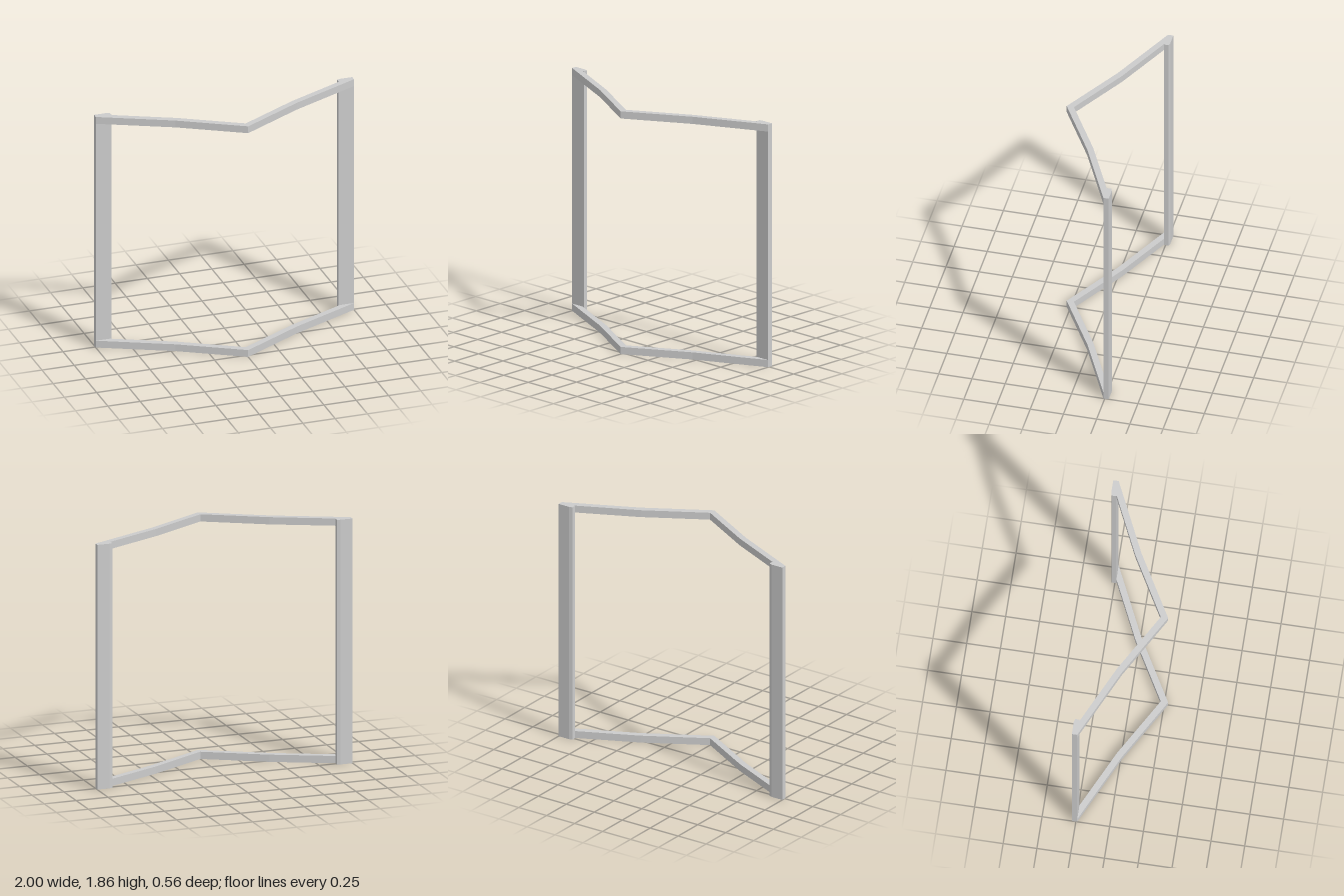
import * as THREE from 'three';

const HEIGHT = 1.86;
const RAIL = 0.055;

// Extrude a plan outline of [x, z] points upward from y0
function slab(name, points, y0, height, material) {
  const shape = new THREE.Shape(points.map(([x, z]) => new THREE.Vector2(x, -z)));
  const geometry = new THREE.ExtrudeGeometry(shape, { depth: height, bevelEnabled: false });
  geometry.rotateX(-Math.PI / 2);
  const mesh = new THREE.Mesh(geometry, material);
  mesh.name = name;
  mesh.position.y = y0;
  return mesh;
}

const mirror = (points) => points.map(([x, z]) => [-x, z]).reverse();

export function createModel() {
  const group = new THREE.Group();
  group.name = 'foldedFrame';
  const material = new THREE.MeshStandardMaterial({ color: 0xcccccc, flatShading: true });

  // Bent V-shaped rails: front edge out to the tip, back edge returning
  const front = [[0, 0.28], [0.47, 0.01], [1, -0.24], [1, -0.28]];
  const back = [[0.975, -0.28], [0.445, -0.03], [0, 0.225]];
  const half = [...front, ...back];
  const outline = [
    ...half,
    ...mirror(half).slice(1, -1),
  ];
  group.add(slab('bottomRail', outline, 0, RAIL, material));
  group.add(slab('topRail', outline, HEIGHT - RAIL, RAIL, material));

  // Flat upright posts with a slightly chamfered inner back corner
  const post = [[1, -0.24], [1, -0.28], [0.905, -0.28], [0.88, -0.273], [0.88, -0.24]];
  group.add(slab('leftPost', post, 0, HEIGHT, material));
  group.add(slab('rightPost', mirror(post), 0, HEIGHT, material));

  return group;
}
